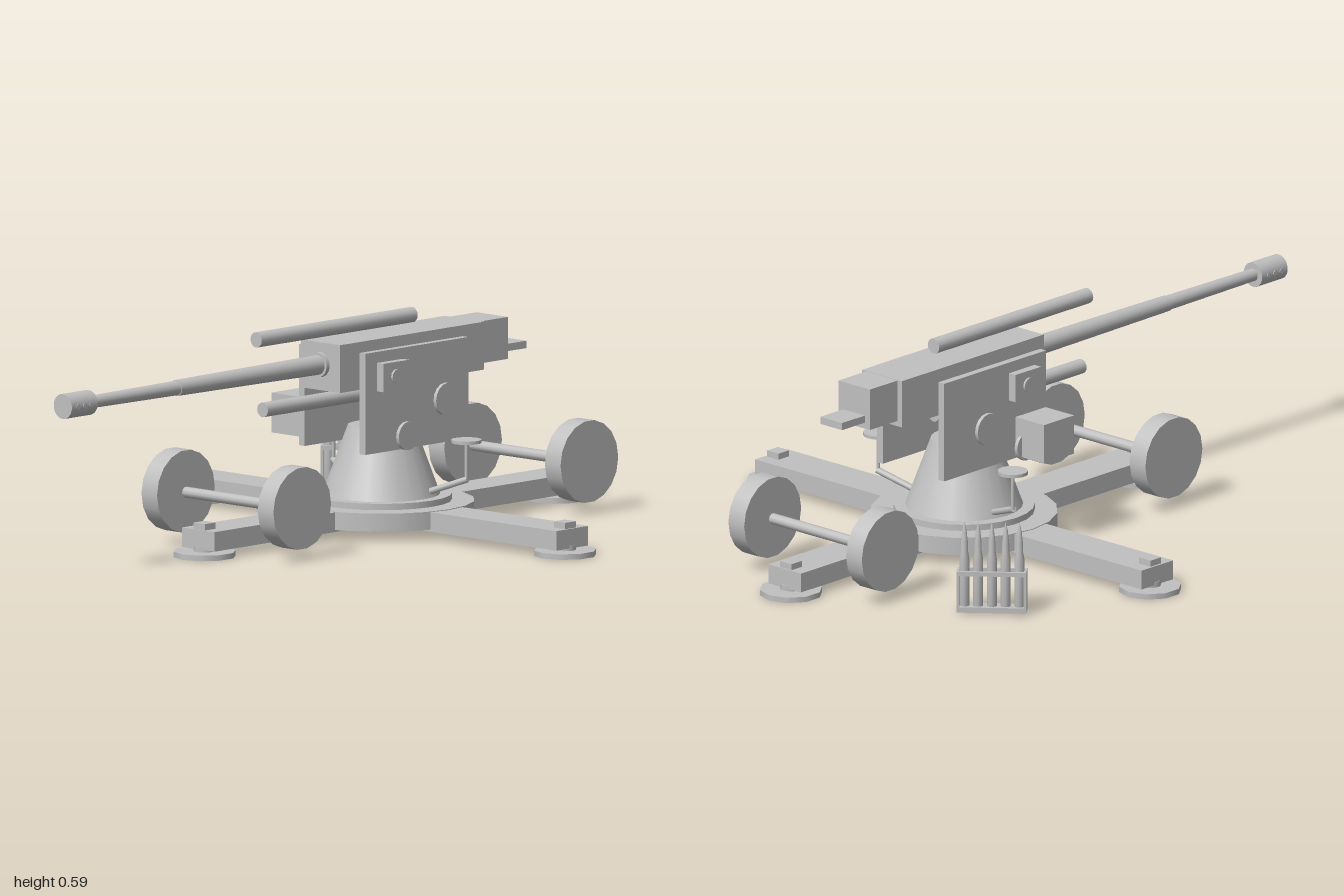
import * as THREE from 'three';

export function createModel() {
  const root = new THREE.Group();
  root.name = 'fieldGun';
  const grey = new THREE.MeshStandardMaterial({ color: 0xc0c0c0 });
  grey.name = 'plain grey';
  const CZ = -0.235; // centre of the mount

  const add = (name, geo, parent = root) => {
    const m = new THREE.Mesh(geo, grey);
    m.name = name;
    parent.add(m);
    return m;
  };
  // box from its min and max on each axis
  const box = (name, x0, x1, y0, y1, z0, z1, parent) => {
    const m = add(name, new THREE.BoxGeometry(x1 - x0, y1 - y0, z1 - z0), parent);
    m.position.set((x0 + x1) / 2, (y0 + y1) / 2, (z0 + z1) / 2);
    return m;
  };
  // cylinder from point a (radius ra) to point b (radius rb)
  const rod = (name, a, b, ra, rb = ra, seg = 16, parent = root) => {
    const A = new THREE.Vector3(...a), B = new THREE.Vector3(...b);
    const dir = B.clone().sub(A);
    const m = add(name, new THREE.CylinderGeometry(rb, ra, dir.length(), seg), parent);
    m.position.copy(A).add(B).multiplyScalar(0.5);
    m.quaternion.setFromUnitVectors(new THREE.Vector3(0, 1, 0), dir.normalize());
    return m;
  };

  // cross-shaped outriggers with foot pads and jack blocks
  box('sideOutriggers', -0.71, 0.71, 0.022, 0.075, CZ - 0.062, CZ + 0.062);
  box('longOutriggers', -0.06, 0.06, 0.022, 0.075, -0.94, 0.475);
  for (const [x, z] of [[0.683, CZ], [-0.683, CZ], [0, 0.45], [0, -0.915]]) {
    rod('footPad', [x, 0, z], [x, 0.015, z], 0.085, 0.085, 10);
    rod('footStem', [x, 0.01, z], [x, 0.03, z], 0.03, 0.03, 10);
    box('jackBlock', x - 0.021, x + 0.021, 0.07, 0.092, z - 0.021, z + 0.021);
  }

  // turntable and pedestal
  rod('turntable', [0, 0.028, CZ], [0, 0.077, CZ], 0.252, 0.252, 20);
  rod('turntableRing', [0, 0.07, CZ], [0, 0.094, CZ], 0.19, 0.19, 24);
  rod('pedestal', [0, 0.09, CZ], [0, 0.28, CZ], 0.16, 0.09, 24);

  // two axles with wheels
  for (const z of [0.327, -0.787]) {
    rod('axle', [-0.2, 0.14, z], [0.2, 0.14, z], 0.015, 0.015, 10);
    for (const s of [-1, 1])
      rod('wheel', [s * 0.187, 0.143, z], [s * 0.245, 0.143, z], 0.112, 0.112, 18);
  }

  // cradle sides with trunnions, handwheels and crew seats
  for (const s of [-1, 1]) {
    const side = new THREE.Group();
    side.name = s > 0 ? 'leftCradle' : 'rightCradle';
    root.add(side);
    const px = (a, b) => [Math.min(s * a, s * b), Math.max(s * a, s * b)];
    box('cradlePlate', ...px(0.102, 0.123), 0.232, 0.507, -0.445, -0.045, side);
    box('trunnionBlock', ...px(0.12, 0.147), 0.4, 0.477, -0.19, -0.09, side);
    rod('trunnionPin', [s * 0.12, 0.438, -0.14], [s * 0.153, 0.438, -0.14], 0.02, 0.02, 12, side);
    rod('largeHandwheel', [s * 0.158, 0.358, -0.317], [s * 0.168, 0.358, -0.317], 0.044, 0.044, 16, side);
    rod('smallHandwheel', [s * 0.158, 0.275, -0.167], [s * 0.168, 0.275, -0.167], 0.039, 0.039, 16, side);
    rod('seat', [s * 0.247, 0.249, -0.308], [s * 0.247, 0.258, -0.308], 0.041, 0.041, 14, side);
    rod('seatPost', [s * 0.247, 0.148, -0.308], [s * 0.247, 0.252, -0.308], 0.005, 0.005, 8, side);
    rod('seatArm', [s * 0.14, 0.108, -0.272], [s * 0.25, 0.15, -0.309], 0.009, 0.009, 8, side);
  }
  box('sightBox', -0.25, -0.145, 0.25, 0.358, -0.188, -0.07);

  // receiver and breech
  box('receiver', -0.073, 0.073, 0.4, 0.53, -0.558, 0);
  box('breech', -0.058, 0.058, 0.415, 0.529, -0.667, -0.55);
  box('loadingTray', -0.04, 0.04, 0.432, 0.452, -0.757, -0.66);

  // barrel with muzzle brake
  rod('barrelCollar', [0, 0.47, -0.01], [0, 0.47, 0.012], 0.034, 0.034, 18);
  rod('barrelSleeve', [0, 0.47, 0], [0, 0.47, 0.56], 0.027, 0.022, 18);
  rod('barrel', [0, 0.47, 0.55], [0, 0.47, 0.91], 0.02, 0.017, 18);
  rod('muzzleBrake', [0, 0.47, 0.9], [0, 0.47, 1], 0.034, 0.034, 18);
  for (const z of [0.925, 0.95, 0.975])
    rod('muzzlePort', [-0.0355, 0.47, z], [0.0355, 0.47, z], 0.007, 0.007, 8);

  // recoil cylinders above and below
  rod('upperRecoilCylinder', [0, 0.565, -0.355], [0, 0.565, 0.25], 0.021);
  rod('lowerRecoilCylinder', [0, 0.372, -0.355], [0, 0.372, 0.225], 0.02);

  // ammunition rack, turned beside the mount
  const rack = new THREE.Group();
  rack.name = 'ammunitionRack';
  rack.position.set(-0.507, 0, -0.668);
  rack.rotation.y = 0.69;
  root.add(rack);
  box('rackBase', -0.094, 0.094, 0.005, 0.02, -0.022, 0.022, rack);
  for (const s of [-1, 1]) {
    box('rackRail', -0.094, 0.094, 0.108, 0.12, s * 0.018 - 0.004, s * 0.018 + 0.004, rack);
    box('rackPost', s * 0.09 - 0.004, s * 0.09 + 0.004, 0.015, 0.12, -0.022, 0.022, rack);
  }
  const profile = [[0, 0.02], [0.014, 0.02], [0.014, 0.15], [0.01, 0.172], [0.01, 0.195], [0.006, 0.23], [0, 0.257]]
    .map(([r, y]) => new THREE.Vector2(r, y));
  for (let i = -2; i <= 2; i++)
    add('shell', new THREE.LatheGeometry(profile, 10), rack).position.x = i * 0.037;

  return root;
}
